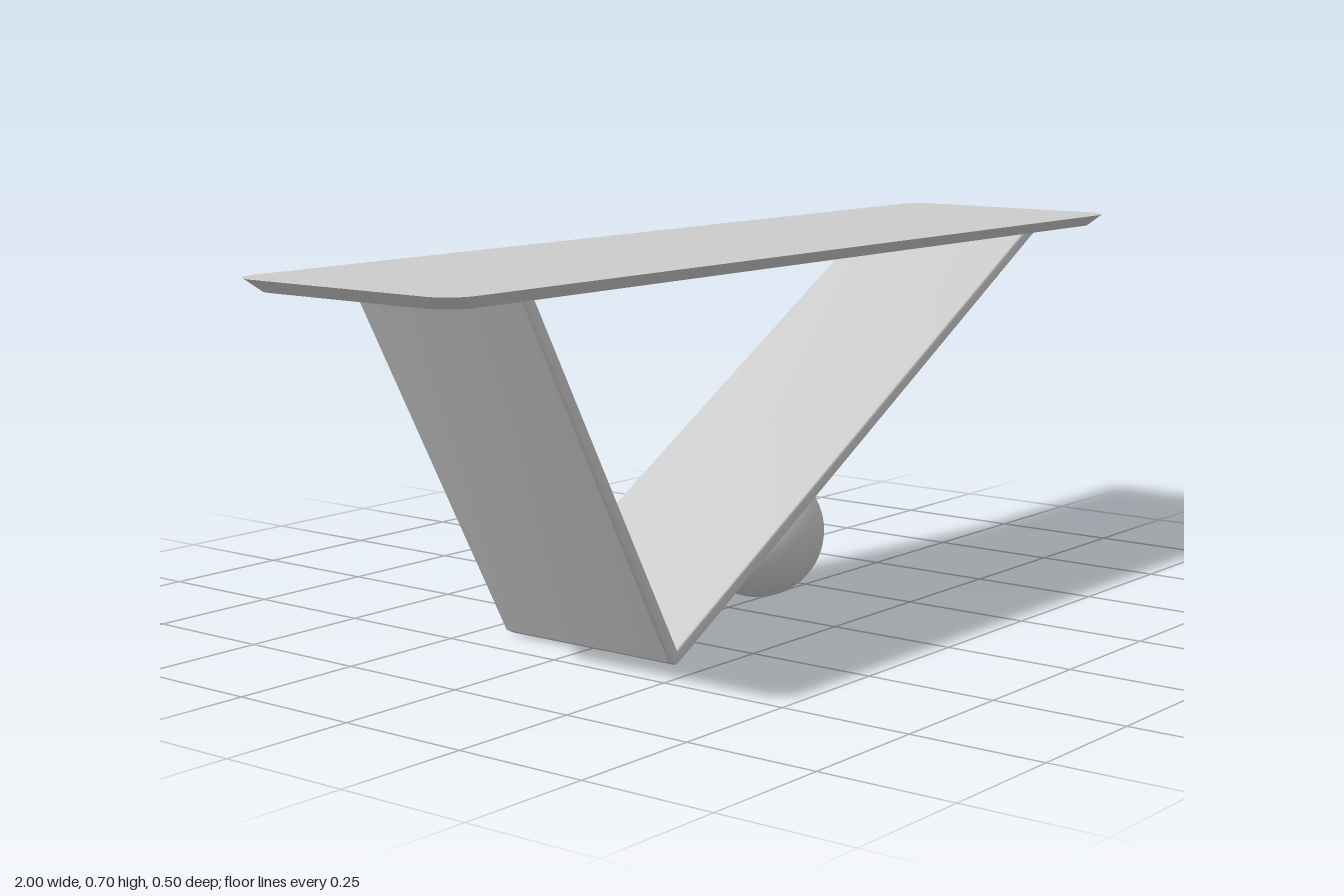
import * as THREE from 'three';
import { toCreasedNormals } from 'three/addons/utils/BufferGeometryUtils.js';

const BEVEL = 0.005;

// Rounded rectangle centred on the origin
function roundedRect(w, h, r) {
  const s = new THREE.Shape();
  const x = w / 2 - r, y = h / 2 - r;
  s.absarc(x, y, r, 0, Math.PI / 2);
  s.absarc(-x, y, r, Math.PI / 2, Math.PI);
  s.absarc(-x, -y, r, Math.PI, Math.PI * 1.5);
  s.absarc(x, -y, r, Math.PI * 1.5, Math.PI * 2);
  s.closePath();
  return s;
}

// Thin top whose sides slope inwards towards the underside
function topGeometry() {
  const t = 0.022;
  const geo = new THREE.ExtrudeGeometry(roundedRect(2, 0.5, 0.055), { depth: t, bevelEnabled: false, curveSegments: 10 });
  const p = geo.attributes.position;
  for (let i = 0; i < p.count; i++) {
    if (p.getZ(i) < t / 2) {
      p.setX(i, p.getX(i) - Math.sign(p.getX(i)) * t);
      p.setY(i, p.getY(i) - Math.sign(p.getY(i)) * t);
    }
  }
  geo.rotateX(-Math.PI / 2);
  return toCreasedNormals(geo, 0.5);
}

// Leg panel: side profile extruded across the depth, with softened edges
function legGeometry(points, width) {
  const shape = new THREE.Shape(points.map(([x, y]) => new THREE.Vector2(x, y)));
  const depth = width - 2 * BEVEL;
  const geo = new THREE.ExtrudeGeometry(shape, {
    depth, bevelEnabled: true, bevelSize: BEVEL, bevelOffset: -BEVEL, bevelThickness: BEVEL, bevelSegments: 3,
  });
  geo.translate(0, 0, -depth / 2);
  return toCreasedNormals(geo, 0.6);
}

export function createModel() {
  const group = new THREE.Group();
  const grey = new THREE.MeshStandardMaterial({ color: 0xcccccc });
  grey.name = 'light grey';

  const add = (name, geometry) => {
    const mesh = new THREE.Mesh(geometry, grey);
    mesh.name = name;
    group.add(mesh);
    return mesh;
  };

  add('tableTop', topGeometry()).position.y = 0.679;

  // Two slanted panels meeting in a V at the floor
  add('longLeg', legGeometry([[-0.395, 0], [0.79, 0.681], [0.744, 0.681], [-0.402, 0.023]], 0.39));
  add('shortLeg', legGeometry([[-0.784, 0.681], [-0.414, 0.008], [-0.4, 0.001], [-0.388, 0.016], [-0.755, 0.681]], 0.39));

  // Ball propping up the long leg
  add('ball', new THREE.SphereGeometry(0.129, 48, 32)).position.set(0.086, 0.137, 0.004);

  return group;
}
